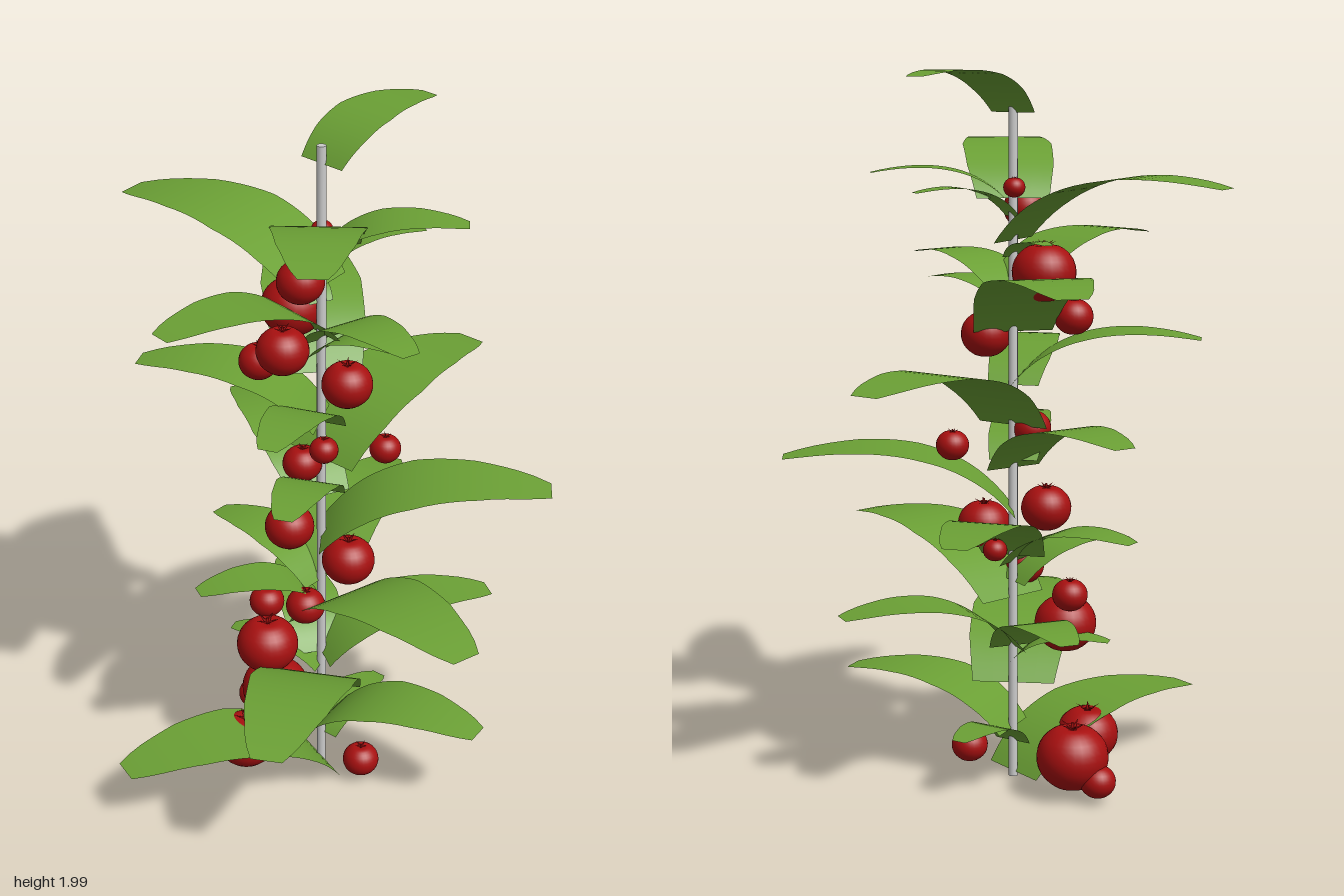
import * as THREE from 'three';

const green = new THREE.MeshStandardMaterial({ color: 0x6ba035, side: THREE.DoubleSide });
const red = new THREE.MeshStandardMaterial({ color: 0xa81010 });
const grey = new THREE.MeshStandardMaterial({ color: 0xcccccc });

// Leaves: tip x, tip z, tip height, full width
const LEAVES = [
  [0.11, -0.38, 1.97, 0.19],
  [0.27, 0.46, 1.77, 0.25],
  [0.35, -0.18, 1.71, 0.18],
  [-0.61, 0.0, 1.68, 0.30],
  [0.20, -0.21, 1.66, 0.13],
  [-0.17, 0.49, 1.52, 0.23],
  [0.37, 0.15, 1.47, 0.18],
  [-0.38, -0.48, 1.43, 0.28],
  [0.29, 0.03, 1.41, 0.15],
  [-0.13, -0.07, 1.52, 0.09],
  [-0.48, 0.17, 1.26, 0.24],
  [0.08, 0.38, 1.22, 0.18],
  [0.14, -0.61, 1.17, 0.29],
  [-0.43, -0.25, 1.02, 0.22],
  [0.10, 0.34, 1.00, 0.17],
  [0.57, -0.30, 0.93, 0.29],
  [-0.06, -0.50, 0.77, 0.23],
  [-0.37, -0.04, 0.72, 0.18],
  [0.60, 0.23, 0.68, 0.29],
  [-0.21, 0.30, 0.66, 0.17],
  [0.35, -0.37, 0.51, 0.23],
  [-0.28, -0.26, 0.48, 0.18],
  [-0.26, 0.06, 0.41, 0.13],
  [0.21, 0.60, 0.43, 0.29],
  [0.52, -0.01, 0.27, 0.24],
  [-0.30, 0.55, 0.17, 0.28],
  [0.05, -0.26, 0.17, 0.14],
];

// Tomatoes: x, y, z, radius
const TOMATOES = [
  [0.04, 1.60, 0.155, 0.064], [-0.09, 1.44, -0.01, 0.088], [-0.04, 1.37, 0.12, 0.072],
  [-0.13, 1.31, 0.10, 0.055], [0.095, 1.26, 0.01, 0.070], [0.04, 1.06, 0.04, 0.040],
  [-0.03, 1.00, 0.04, 0.055], [0.10, 0.98, -0.19, 0.045], [-0.08, 0.78, 0.03, 0.070],
  [0.105, 0.72, 0.015, 0.074], [0.02, 0.59, 0.105, 0.055], [-0.14, 0.53, 0.06, 0.050],
  [-0.10, 0.43, 0.12, 0.088], [-0.155, 0.10, 0.155, 0.088], [-0.22, 0.115, -0.10, 0.100],
  [-0.30, 0.06, -0.11, 0.050], [0.155, 0.065, 0.02, 0.052], [0.03, 0.67, -0.07, 0.034],
  [-0.01, 1.67, -0.03, 0.030],
];

// Half-width along the leaf, as a fraction of its widest half
const WIDTH = [[0, 0.80], [0.25, 0.96], [0.5, 1], [0.75, 0.80], [0.93, 0.52], [1, 0.30]];
function widthAt(t) {
  let i = 1;
  while (t > WIDTH[i][0]) i++;
  const [a, b] = [WIDTH[i - 1], WIDTH[i]];
  return THREE.MathUtils.mapLinear(t, a[0], b[0], a[1], b[1]);
}

// Arched strip that climbs from the stake and droops at a blunt tip
function makeLeaf([tx, tz, tipY, width]) {
  const base = new THREE.Vector2(0.01, 0.005);
  const dir = new THREE.Vector2(tx, tz).sub(base);
  const len = dir.length();
  dir.normalize();
  const arch = new THREE.QuadraticBezierCurve(
    new THREE.Vector2(0, tipY - 0.25 * len),
    new THREE.Vector2(0.3 * len, tipY + 0.15 * len),
    new THREE.Vector2(len, tipY));
  const rows = 20, cols = 4;
  const geo = new THREE.PlaneGeometry(1, 1, cols, rows);
  const pos = geo.attributes.position;
  for (let i = 0; i < pos.count; i++) {
    const t = THREE.MathUtils.clamp(0.5 - pos.getY(i), 0, 1);
    const p = arch.getPoint(t);
    const side = pos.getX(i) * width * widthAt(t);
    pos.setXYZ(i, base.x + dir.x * p.x - dir.y * side, p.y, base.y + dir.y * p.x + dir.x * side);
  }
  geo.computeVertexNormals();
  const leaf = new THREE.Mesh(geo, green);
  leaf.name = 'leaf';
  return leaf;
}

// Unit fruit profile, slightly squat with a dimple on top
const fruitProfile = new THREE.SplineCurve([
  [0, -0.88], [0.45, -0.80], [0.86, -0.45], [1, 0.02], [0.88, 0.48],
  [0.55, 0.80], [0.25, 0.86], [0, 0.78],
].map(([x, y]) => new THREE.Vector2(x, y))).getPoints(20);
fruitProfile[0].x = fruitProfile[20].x = 0;
const fruitGeo = new THREE.LatheGeometry(fruitProfile, 28);
const sepalGeo = new THREE.ConeGeometry(0.08, 0.45, 4).translate(0, 0.225, 0).scale(1, 1, 0.4);
const stalkGeo = new THREE.CylinderGeometry(0.04, 0.05, 0.25, 6);

function makeTomato([x, y, z, r], index) {
  const tomato = new THREE.Group();
  tomato.name = 'tomato';
  const fruit = new THREE.Mesh(fruitGeo, red);
  fruit.name = 'fruit';
  const stalk = new THREE.Mesh(stalkGeo, red);
  stalk.name = 'stalk';
  stalk.position.y = 0.88;
  tomato.add(fruit, stalk);
  // star of pointed sepals around the stalk
  for (let k = 0; k < 5; k++) {
    const sepal = new THREE.Mesh(sepalGeo, red);
    sepal.name = 'sepal';
    sepal.position.y = 0.82;
    sepal.rotation.set(1.15, (k / 5) * Math.PI * 2, 0, 'YXZ');
    tomato.add(sepal);
  }
  tomato.position.set(x, y, z);
  tomato.rotation.y = index * 0.9;
  tomato.scale.setScalar(r);
  return tomato;
}

export function createModel() {
  const plant = new THREE.Group();
  plant.name = 'tomatoPlant';

  const stake = new THREE.Mesh(new THREE.CylinderGeometry(0.013, 0.013, 1.92, 12), grey);
  stake.name = 'stake';
  stake.position.set(0.01, 0.96, 0.005);
  plant.add(stake);

  const leaves = new THREE.Group();
  leaves.name = 'leaves';
  LEAVES.forEach((l) => leaves.add(makeLeaf(l)));

  const tomatoes = new THREE.Group();
  tomatoes.name = 'tomatoes';
  TOMATOES.forEach((t, i) => tomatoes.add(makeTomato(t, i)));

  plant.add(leaves, tomatoes);
  return plant;
}
